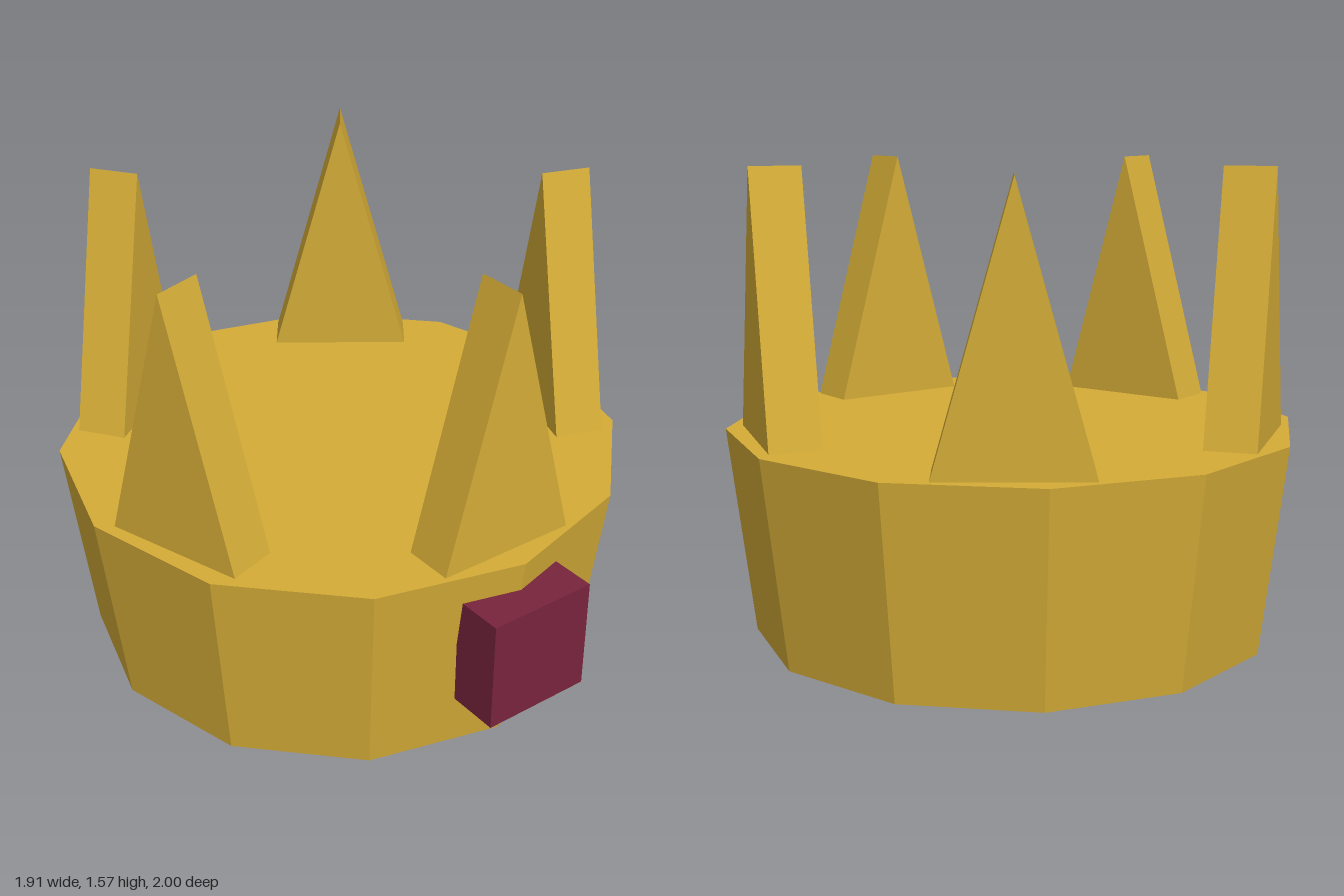
import * as THREE from 'three';

const BAND_HEIGHT = 0.695;
const SPIKE_WIDTH = 0.486;
const SPIKE_HEIGHT = 0.87;
const SPIKE_DEPTH = 0.17;
const SPIKE_RADIUS = 0.785;
const SPIKE_COUNT = 5;

export function createModel() {
  const gold = new THREE.MeshStandardMaterial({ color: 0xd4ac37 });
  gold.name = 'gold';
  gold.flatShading = true;
  const burgundy = new THREE.MeshStandardMaterial({ color: 0x78243c });
  burgundy.name = 'burgundy';
  burgundy.flatShading = true;

  const model = new THREE.Group();
  model.name = 'crown';

  // Band and spikes share one centre, set back to balance the jewel
  const ring = new THREE.Group();
  ring.name = 'ring';
  ring.position.z = -0.045;
  model.add(ring);

  // Solid twelve-sided band, wider at the top
  const band = new THREE.Mesh(new THREE.CylinderGeometry(0.955, 0.869, BAND_HEIGHT, 12), gold);
  band.name = 'band';
  band.position.y = BAND_HEIGHT / 2;
  ring.add(band);

  // Triangular spikes facing outward around the band
  const triangle = new THREE.Shape([
    new THREE.Vector2(-SPIKE_WIDTH / 2, 0),
    new THREE.Vector2(SPIKE_WIDTH / 2, 0),
    new THREE.Vector2(0, SPIKE_HEIGHT),
  ]);
  const spikeGeometry = new THREE.ExtrudeGeometry(triangle, { depth: SPIKE_DEPTH, bevelEnabled: false });
  spikeGeometry.translate(0, 0, SPIKE_RADIUS - SPIKE_DEPTH / 2);
  for (let i = 0; i < SPIKE_COUNT; i++) {
    const spike = new THREE.Mesh(spikeGeometry, gold);
    spike.name = `spike${i + 1}`;
    spike.position.y = BAND_HEIGHT;
    spike.rotation.y = (i / SPIKE_COUNT) * Math.PI * 2;
    ring.add(spike);
  }

  // Square jewel set into the front of the band
  const jewel = new THREE.Mesh(new THREE.BoxGeometry(0.38, 0.38, 0.174), burgundy);
  jewel.name = 'jewel';
  jewel.position.set(0, 0.402, 0.913);
  model.add(jewel);

  return model;
}
